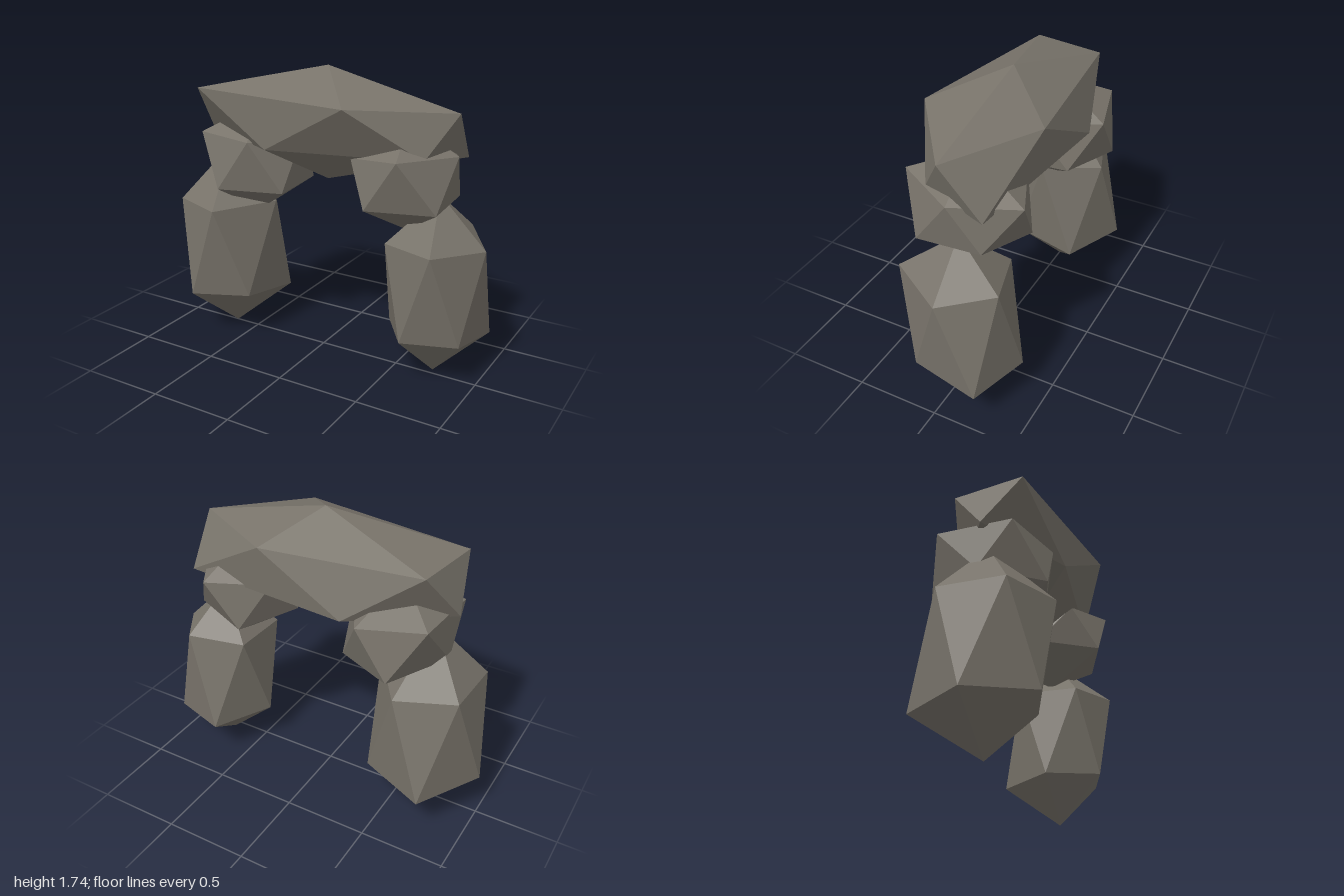
import * as THREE from 'three';

// A faceted boulder: top point, ring of five, staggered ring of five, bottom point.
// Rings run from +x towards +z.
function boulder(name, material, top, upper, lower, bottom) {
  const points = [top, ...upper, ...lower, bottom];
  const index = [];
  for (let i = 0; i < 5; i++) {
    const j = (i + 1) % 5;
    const u = 1 + i, u2 = 1 + j, l = 6 + i, l2 = 6 + j;
    index.push(0, u2, u, u, u2, l, l, u2, l2, 11, l, l2);
  }
  const indexed = new THREE.BufferGeometry();
  indexed.setAttribute('position', new THREE.Float32BufferAttribute(points.flat(), 3));
  indexed.setIndex(index);
  const geometry = indexed.toNonIndexed();
  geometry.computeVertexNormals();
  const mesh = new THREE.Mesh(geometry, material);
  mesh.name = name;
  return mesh;
}

export function createModel() {
  const group = new THREE.Group();
  group.name = 'rockArch';
  const stone = new THREE.MeshStandardMaterial({ color: 0x78736a, flatShading: true });
  stone.name = 'stone';

  // Long slab across the top
  group.add(boulder('lintelStone', stone,
    [0.03, 1.74, 0],
    [[0.83, 1.55, 0], [0.33, 1.585, 0.38], [-0.73, 1.575, 0.22], [-0.67, 1.57, -0.21], [0.28, 1.555, -0.31]],
    [[0.70, 1.31, 0.16], [-0.21, 1.285, 0.30], [-0.79, 1.29, 0], [-0.25, 1.27, -0.34], [0.80, 1.26, -0.23]],
    [0.03, 1.08, 0]));

  // Stones between the legs and the slab
  group.add(boulder('leftShoulderStone', stone,
    [0.53, 1.48, -0.02],
    [[0.82, 1.31, -0.03], [0.62, 1.33, 0.33], [0.28, 1.28, 0.19], [0.27, 1.28, -0.21], [0.62, 1.28, -0.37]],
    [[0.79, 1.03, 0.18], [0.43, 1.04, 0.32], [0.22, 1.05, -0.01], [0.43, 1.0, -0.32], [0.77, 1.04, -0.2]],
    [0.53, 0.85, -0.02]));
  group.add(boulder('rightShoulderStone', stone,
    [-0.47, 1.47, -0.03],
    [[-0.17, 1.28, -0.02], [-0.35, 1.30, 0.27], [-0.75, 1.30, 0.17], [-0.73, 1.31, -0.28], [-0.36, 1.28, -0.38]],
    [[-0.19, 0.99, 0.16], [-0.55, 1.0, 0.30], [-0.76, 1.03, -0.03], [-0.55, 1.0, -0.38], [-0.21, 1.0, -0.23]],
    [-0.47, 0.80, -0.03]));

  // Upright stones
  group.add(boulder('leftLegStone', stone,
    [0.72, 1.08, -0.04],
    [[1.0, 0.80, -0.04], [0.81, 0.83, 0.29], [0.48, 0.81, 0.15], [0.48, 0.82, -0.22], [0.81, 0.84, -0.32]],
    [[0.94, 0.28, 0.14], [0.63, 0.28, 0.25], [0.43, 0.26, -0.04], [0.63, 0.24, -0.37], [0.98, 0.22, -0.25]],
    [0.72, 0, -0.04]));
  group.add(boulder('rightLegStone', stone,
    [-0.66, 1.20, 0],
    [[-0.34, 0.88, 0], [-0.56, 0.87, 0.35], [-0.91, 0.86, 0.20], [-0.90, 0.87, -0.19], [-0.56, 0.85, -0.31]],
    [[-0.42, 0.30, 0.20], [-0.76, 0.29, 0.33], [-1.0, 0.265, 0], [-0.77, 0.25, -0.375], [-0.37, 0.25, -0.20]],
    [-0.66, 0, 0]));

  return group;
}
